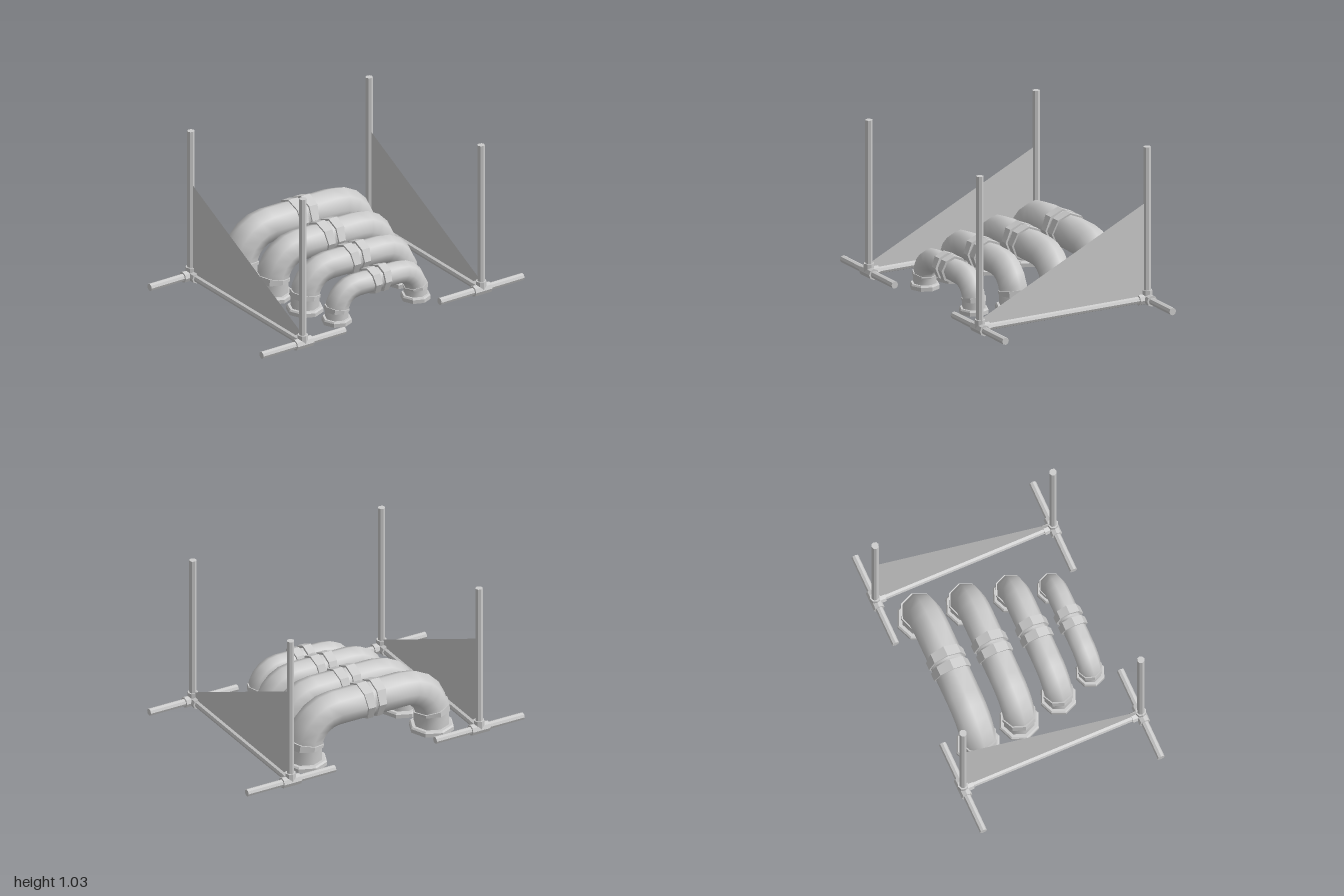
import * as THREE from 'three';

const SIDES = 8;
const solid = new THREE.MeshStandardMaterial({ color: 0xcccccc, flatShading: true });
const smooth = new THREE.MeshStandardMaterial({ color: 0xcccccc, side: THREE.DoubleSide });

function add(parent, name, geometry, material = solid) {
  const mesh = new THREE.Mesh(geometry, material);
  mesh.name = name;
  parent.add(mesh);
  return mesh;
}

// Octagonal skin through stations { z, y, t, r }: centre, tilt angle and radius
function sweep(stations) {
  const pos = [], index = [];
  stations.forEach(({ z, y, t, r }, i) => {
    for (let j = 0; j < SIDES; j++) {
      const a = (j / SIDES) * Math.PI * 2, out = r * Math.sin(a);
      pos.push(r * Math.cos(a), y + out * Math.sin(t), z + out * Math.cos(t));
      if (i === stations.length - 1) continue;
      const k = (j + 1) % SIDES, p = i * SIDES, q = p + SIDES;
      index.push(p + j, q + j, p + k, q + j, q + k, p + k);
    }
  });
  const g = new THREE.BufferGeometry();
  g.setAttribute('position', new THREE.Float32BufferAttribute(pos, 3));
  g.setIndex(index);
  g.computeVertexNormals();
  return g;
}

// One half of an arched pipe, from the floor flange to the middle joint
function halfPipe(s) {
  const half = new THREE.Group();
  half.name = 'halfPipe';
  const r = 0.075 * s, bend = 0.14 * s, cz = 0.162 * s, cy = 0.085 * s;
  const onBend = (t, radius) => ({
    z: cz + bend * Math.cos(t), y: cy + bend * Math.sin(t), t, r: radius,
  });

  const path = [{ z: cz + bend, y: 0.03, t: 0, r }];
  for (let i = 0; i <= 5; i++) path.push(onBend((i / 5) * Math.PI / 2, r));
  path.push({ z: 0, y: cy + bend, t: Math.PI / 2, r });
  add(half, 'pipeElbow', sweep(path), smooth);

  // Raised band where the elbow begins
  add(half, 'elbowBand', sweep([
    onBend(0.04, r * 0.97), onBend(0.04, r * 1.08),
    onBend(0.2, r * 1.08), onBend(0.2, r * 0.97),
  ]));

  // Slightly wedge-shaped collar beside the middle joint
  const top = cy + bend, R = 0.024 + 0.9 * r;
  const zo = 0.05 + 0.01 * s, to = Math.PI / 2 - 0.13;
  add(half, 'middleCollar', sweep([
    { z: zo, y: top, t: to, r: r * 0.95 }, { z: zo, y: top, t: to, r: R },
    { z: 0.014, y: top, t: Math.PI / 2, r: R }, { z: 0.014, y: top, t: Math.PI / 2, r: r * 0.95 },
  ]));

  // Open octagonal foot flange
  const F = 0.096 * s;
  const profile = [[0.72, 0.045], [0.84, 0.01], [1, 0.01], [1, 0.035], [0.93, 0.045], [0.72, 0.045]]
    .map(([k, y]) => new THREE.Vector2(k * F, y));
  const flange = add(half, 'footFlange', new THREE.LatheGeometry(profile, SIDES),
    new THREE.MeshStandardMaterial({ color: 0xcccccc, flatShading: true, side: THREE.DoubleSide }));
  flange.position.z = cz + bend;
  return half;
}

// Straight bar between two points
function bar(parent, name, from, to, r) {
  const a = new THREE.Vector3(...from), b = new THREE.Vector3(...to);
  const dir = b.clone().sub(a);
  const mesh = add(parent, name, new THREE.CylinderGeometry(r, r, dir.length(), SIDES));
  mesh.position.copy(a).add(b).multiplyScalar(0.5);
  mesh.quaternion.setFromUnitVectors(new THREE.Vector3(0, 1, 0), dir.normalize());
}

// End frame: cross bar, two posts on feet, and a sloping panel
function endFrame(z) {
  const frame = new THREE.Group();
  frame.name = 'endFrame';
  const y = 0.036, X = 0.608, inner = Math.sign(z) * 0.364, outer = Math.sign(z);
  bar(frame, 'crossBar', [-X, y, z], [X, y, z], 0.023);
  for (const x of [-X, X]) {
    bar(frame, 'post', [x, y, z], [x, 1.035, z], 0.024);
    bar(frame, 'footBar', [x, y, inner], [x, y, outer], 0.024);
    // Fitting that joins post, foot and cross bar
    bar(frame, 'jointFoot', [x, y, z - 0.063], [x, y, z + 0.063], 0.036);
    bar(frame, 'jointPost', [x, y, z], [x, 0.095, z], 0.034);
    bar(frame, 'jointCross', [x, y, z], [x - Math.sign(x) * 0.065, y, z], 0.034);
  }
  const outline = [[-0.6, 0.04], [0.6, 0.04], [0.6, 0.095], [-0.6, 0.67]]
    .map(([px, py]) => new THREE.Vector2(px, py));
  const panel = add(frame, 'slopingPanel', new THREE.ShapeGeometry(new THREE.Shape(outline)), smooth);
  panel.position.z = z;
  return frame;
}

export function createModel() {
  const model = new THREE.Group();
  model.name = 'pipeRamp';
  for (const z of [-0.683, 0.683]) model.add(endFrame(z));

  // Four arched pipes, shrinking towards the low end of the panels
  for (const [x, s] of [[-0.405, 1.52], [-0.106, 1.38], [0.182, 1.23], [0.43, 1]]) {
    const pipe = new THREE.Group();
    pipe.name = 'archedPipe';
    const front = halfPipe(s), back = halfPipe(s);
    back.rotation.y = Math.PI;
    pipe.add(front, back);
    pipe.position.set(x, 0, -0.004);
    model.add(pipe);
  }
  return model;
}
